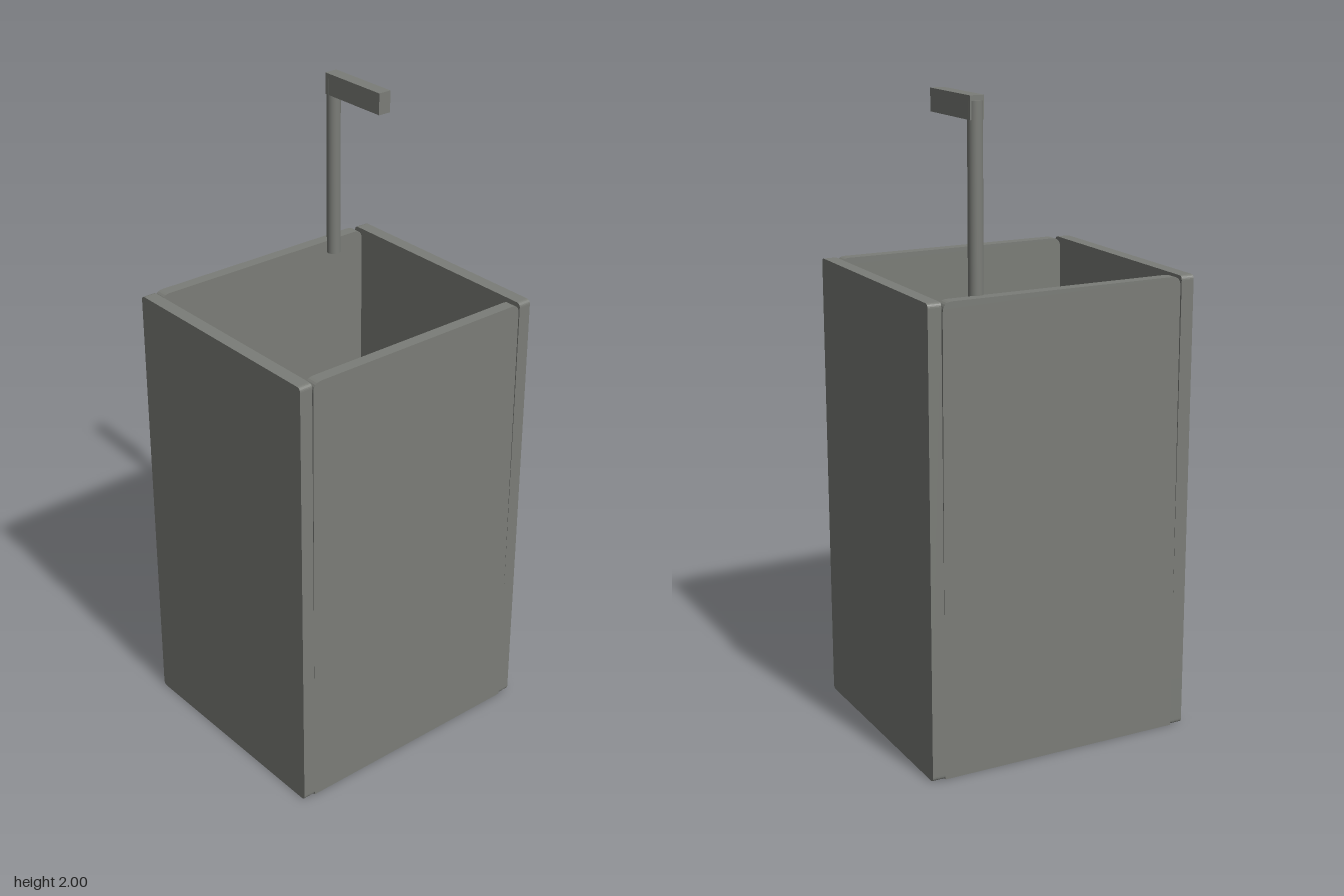
import * as THREE from 'three';

const W = 0.436, D = 0.378, H = 1.445; // half width, half depth, wall height
const SIDE = 0.042, END = 0.037;       // wall thicknesses

// Upright panel outline with rounded corners, narrowing slightly above the seam
function panel(half, topHalf, seamY, rTop, rBottom, depth) {
  const s = new THREE.Shape();
  s.moveTo(-half + rBottom, 0);
  s.lineTo(half - rBottom, 0);
  s.quadraticCurveTo(half, 0, half, rBottom);
  s.lineTo(half, seamY);
  s.lineTo(topHalf, H - rTop);
  s.quadraticCurveTo(topHalf, H, topHalf - rTop, H);
  s.lineTo(-topHalf + rTop, H);
  s.quadraticCurveTo(-topHalf, H, -topHalf, H - rTop);
  s.lineTo(-half, seamY);
  s.lineTo(-half, rBottom);
  s.quadraticCurveTo(-half, 0, -half + rBottom, 0);
  const g = new THREE.ExtrudeGeometry(s, { depth, bevelEnabled: false, curveSegments: 6 });
  return g.translate(0, 0, -depth / 2);
}

export function createModel() {
  const model = new THREE.Group();
  const grey = new THREE.MeshStandardMaterial({ color: 0x7b7d78 });
  grey.name = 'warm grey';

  const add = (name, geometry, x, y, z) => {
    const mesh = new THREE.Mesh(geometry, grey);
    mesh.name = name;
    mesh.position.set(x, y, z);
    model.add(mesh);
    return mesh;
  };

  // Side walls, full depth
  const sideGeo = panel(D, D, 0.155, 0.014, 0.014, SIDE).rotateY(Math.PI / 2);
  add('leftWall', sideGeo, W - SIDE / 2, 0, 0);
  add('rightWall', sideGeo, -W + SIDE / 2, 0, 0);

  // Front and back walls fitted between them, with a fine seam at each end
  const inner = W - SIDE;
  const endGeo = panel(inner + 0.001, inner - 0.004, 0.155, 0.03, 0.001, END);
  add('frontWall', endGeo, 0, 0, D - END / 2);
  add('backWall', endGeo, 0, 0, -D + END / 2);

  // Floor
  add('floor', new THREE.BoxGeometry(inner * 2 + 0.01, 0.04, (D - END) * 2 + 0.01), 0, 0.02, 0);

  // Spout post by the back wall, and the square arm reaching forward
  add('post', new THREE.CylinderGeometry(0.022, 0.022, 0.575, 24), 0.261, 1.6975, -0.326);
  add('spoutArm', new THREE.BoxGeometry(0.043, 0.067, 0.25), 0.261, 1.9665, -0.214);

  return model;
}
